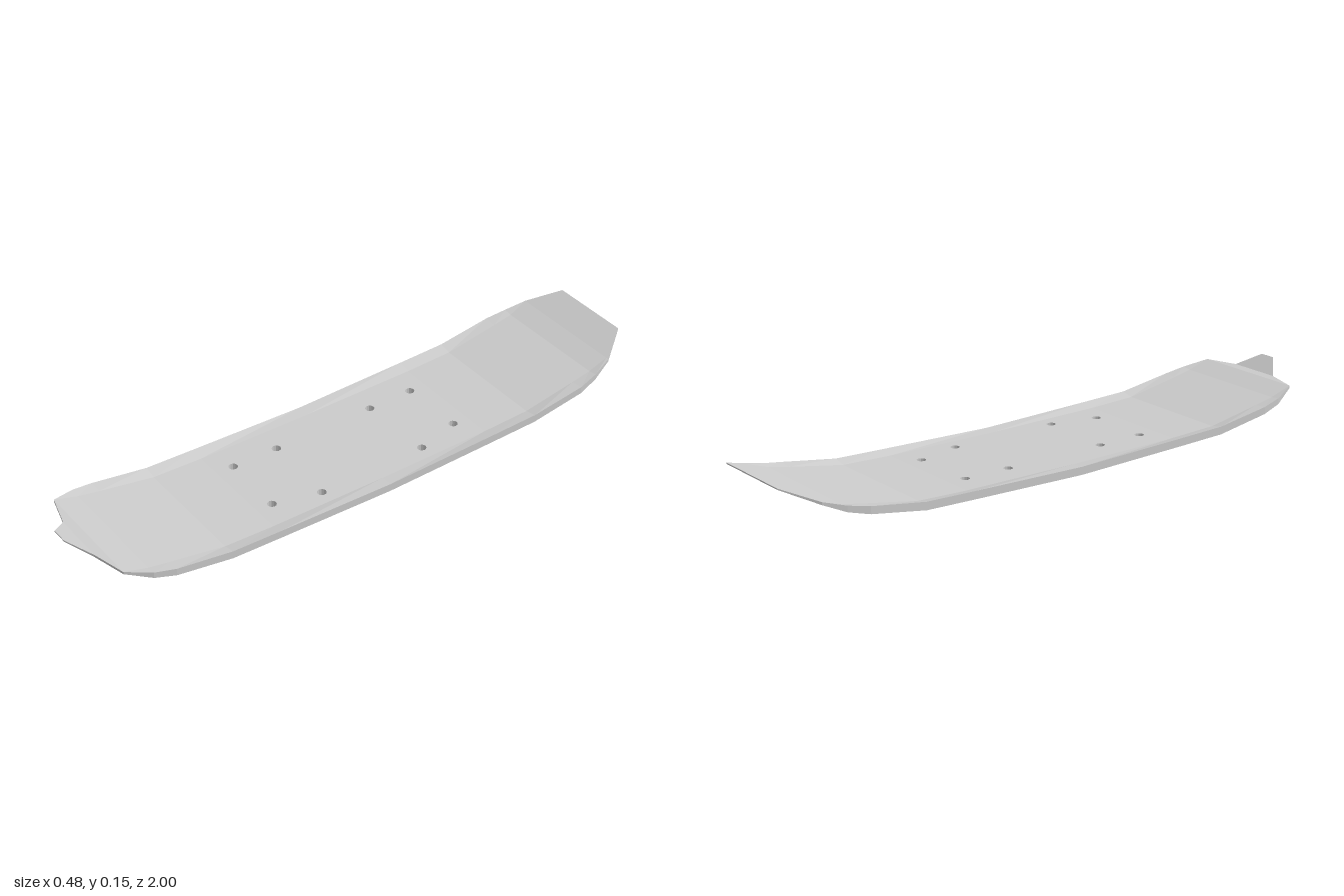
import * as THREE from 'three';

// Cross-sections: z, half width, top middle, top edge, bottom middle, bottom edge
const ROWS = [
  [-1, 0.14, 0.15, 0.15, 0.146, 0.146],
  [-0.9, 0.21, 0.108, 0.108, 0.098, 0.099],
  [-0.83, 0.23, 0.084, 0.088, 0.066, 0.068],
  [-0.76, 0.242, 0.07, 0.074, 0.046, 0.05],
  [-0.57, 0.242, 0.036, 0.045, 0.012, 0.019],
  [-0.4, 0.242, 0.03, 0.04, 0.001, 0.014],
  [0, 0.242, 0.027, 0.03, 0, 0.004],
  [0.4, 0.242, 0.03, 0.04, 0.001, 0.014],
  [0.57, 0.242, 0.036, 0.045, 0.012, 0.019],
  [0.76, 0.242, 0.07, 0.074, 0.046, 0.05],
  [0.83, 0.232, 0.084, 0.088, 0.066, 0.068],
  [0.91, 0.2, 0.108, 0.108, 0.1, 0.1],
  [0.94, 0.09, 0.11, 0.11, 0.102, 0.102],
  [1, 0.027, 0.15, 0.15, 0.146, 0.146],
];
const INNER = 0.2; // half width of the flat middle
const HOLE_RADIUS = 0.015;
const HOLES = [];
for (const s of [-1, 1]) {
  HOLES.push([-0.11, 0.18 * s], [-0.11, 0.34 * s], [0.15, 0.19 * s], [0.11, 0.345 * s]);
}

// Cross-section interpolated at any z
function rowAt(z) {
  let i = 0;
  while (i < ROWS.length - 2 && z > ROWS[i + 1][0]) i++;
  const a = ROWS[i], b = ROWS[i + 1];
  const t = (z - a[0]) / (b[0] - a[0]);
  return a.map((v, k) => v + (b[k] - v) * t);
}

// Surface point on the top or underside
function surfacePoint(x, z, top) {
  const r = rowAt(z), k = top ? 2 : 4;
  const t = Math.abs(x) > INNER ? Math.min(1, (Math.abs(x) - INNER) / Math.max(r[1] - INNER, 1e-6)) : 0;
  return [x, r[k] + (r[k + 1] - r[k]) * t, z];
}

function meshFromTriangles(name, positions) {
  const geometry = new THREE.BufferGeometry();
  geometry.setAttribute('position', new THREE.Float32BufferAttribute(positions, 3));
  geometry.computeVertexNormals();
  const mesh = new THREE.Mesh(geometry, new THREE.MeshStandardMaterial({
    color: 0xcccccc, flatShading: true, side: THREE.DoubleSide,
  }));
  mesh.name = name;
  return mesh;
}

// Top or underside: three columns of cells, with bolt holes in the middle column
function deckSurface(name, top) {
  const out = [];
  const addCell = (corners, holes = []) => {
    const contour = corners.map(([x, z]) => new THREE.Vector2(x, z));
    const faces = THREE.ShapeUtils.triangulateShape(contour, holes);
    const points = contour.concat(...holes);
    for (const [i, j, k] of faces) {
      const a = points[i], b = points[j], c = points[k];
      const turn = (b.x - a.x) * (c.y - a.y) - (b.y - a.y) * (c.x - a.x);
      const order = (turn < 0) === top ? [a, b, c] : [a, c, b];
      for (const p of order) out.push(...surfacePoint(p.x, p.y, top));
    }
  };
  for (let i = 0; i < ROWS.length - 1; i++) {
    const [z0, w0] = ROWS[i], [z1, w1] = ROWS[i + 1];
    const n0 = Math.min(INNER, w0), n1 = Math.min(INNER, w1);
    const holes = HOLES.filter(([, z]) => z > z0 && z < z1).map(([x, z]) =>
      new THREE.Path().absarc(x, z, HOLE_RADIUS, 0, Math.PI * 2, true).getPoints(6).slice(0, -1));
    addCell([[-n0, z0], [n0, z0], [n1, z1], [-n1, z1]], holes);
    for (const s of [-1, 1]) {
      if (w0 > n0 && w1 > n1) addCell([[s * n0, z0], [s * w0, z0], [s * w1, z1], [s * n1, z1]]);
      else if (w0 > n0) addCell([[s * n0, z0], [s * w0, z0], [s * n1, z1]]);
      else if (w1 > n1) addCell([[s * n0, z0], [s * w1, z1], [s * n1, z1]]);
    }
  }
  return meshFromTriangles(name, out);
}

// Rim following the outline, closed across the nose and tail
function deckRim() {
  const outline = [
    ...ROWS.map(([z, w]) => [w, z]),
    ...[...ROWS].reverse().map(([z, w]) => [-w, z]),
  ];
  return wall('rim', outline);
}

// Vertical wall between the two surfaces along a closed loop of [x, z]
function wall(name, loop) {
  const out = [];
  loop.forEach(([x, z], i) => {
    const [x2, z2] = loop[(i + 1) % loop.length];
    const b0 = surfacePoint(x, z, false), t0 = surfacePoint(x, z, true);
    const b1 = surfacePoint(x2, z2, false), t1 = surfacePoint(x2, z2, true);
    out.push(...b0, ...t0, ...t1, ...b0, ...t1, ...b1);
  });
  return meshFromTriangles(name, out);
}

export function createModel() {
  const deck = new THREE.Group();
  deck.name = 'skateboardDeck';
  deck.add(deckSurface('topSurface', true), deckSurface('underside', false), deckRim());
  // Inside walls of the bolt holes
  for (const [x, z] of HOLES) {
    const ring = new THREE.Path().absarc(x, z, HOLE_RADIUS, 0, Math.PI * 2, true)
      .getPoints(6).slice(0, -1).map((p) => [p.x, p.y]);
    deck.add(wall('boltHole', ring.reverse()));
  }
  return deck;
}
